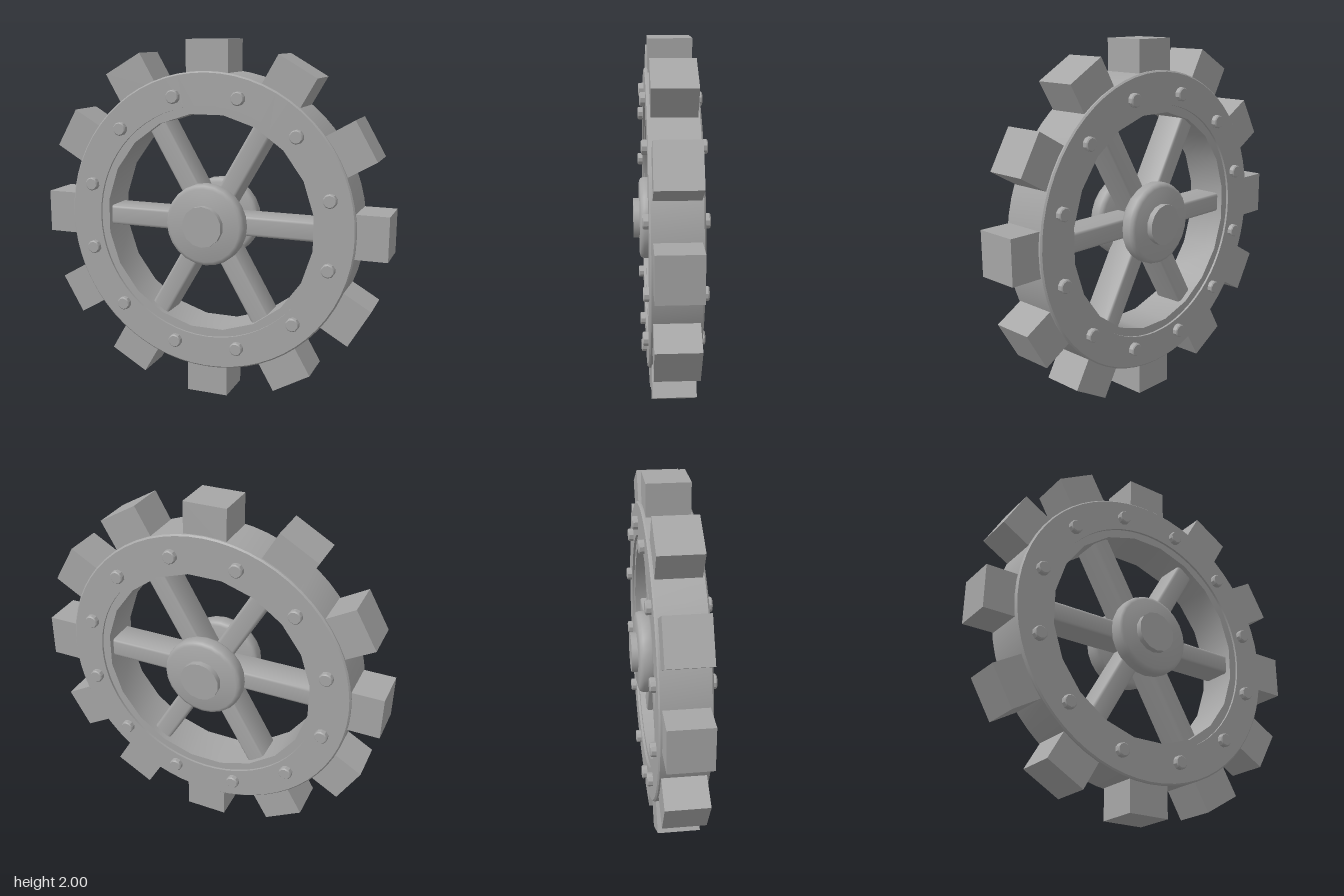
import * as THREE from 'three';
import { toCreasedNormals } from 'three/addons/utils/BufferGeometryUtils.js';

const metal = new THREE.MeshStandardMaterial({ color: 0xa6a6a6 });
metal.name = 'grey metal';

// Revolves a profile of [radius, z] points about the z axis
function turned(points, sides, crease = 0.5, start = 0) {
  const profile = points.map(([r, z]) => new THREE.Vector2(r, z));
  const geometry = new THREE.LatheGeometry(profile, sides, start);
  geometry.rotateX(Math.PI / 2);
  return toCreasedNormals(geometry, crease);
}

// Closed ring with bevelled outer edges
function ring(inner, outer, halfDepth, bevel, sides, start = 0) {
  return turned([
    [inner, -halfDepth], [outer - bevel, -halfDepth], [outer, -halfDepth + bevel],
    [outer, halfDepth - bevel], [outer - bevel, halfDepth], [inner, halfDepth], [inner, -halfDepth],
  ], sides, 0.5, start);
}

export function createModel() {
  const model = new THREE.Group();
  model.name = 'gearWheel';
  const wheel = new THREE.Group();
  wheel.name = 'wheel';
  wheel.position.y = 1;
  model.add(wheel);

  function add(name, geometry, parent = wheel) {
    const mesh = new THREE.Mesh(geometry, metal);
    mesh.name = name;
    parent.add(mesh);
    return mesh;
  }

  // Rim, with a slightly recessed faceted inner band
  add('rim', ring(0.652, 0.835, 0.133, 0.008, 64));
  add('innerBand', ring(0.611, 0.7, 0.12, 0.005, 20, Math.PI / 20));

  // Square teeth and bolts on both rim faces
  const toothGeometry = new THREE.BoxGeometry(0.22, 0.24, 0.232);
  const boltGeometry = turned([[0, 0.12], [0.038, 0.12], [0.038, 0.157], [0.032, 0.163], [0, 0.163]], 10);
  for (let i = 0; i < 12; i++) {
    const angle = i * Math.PI / 6;
    const tooth = add('tooth', toothGeometry);
    tooth.position.set(Math.cos(angle) * 0.89, Math.sin(angle) * 0.89, 0);
    tooth.rotation.z = angle;
    for (const back of [0, 1]) {
      const bolt = add(back ? 'backBolt' : 'frontBolt', boltGeometry);
      const boltAngle = angle + Math.PI / 12;
      bolt.position.set(Math.cos(boltAngle) * 0.72, Math.sin(boltAngle) * 0.72, 0);
      bolt.rotation.y = back * Math.PI;
    }
  }

  // Six spokes with rounded long edges
  const w = 0.056, d = 0.088, b = 0.018;
  const section = new THREE.Shape();
  section.moveTo(-d + b, -w);
  section.lineTo(d - b, -w);
  section.quadraticCurveTo(d, -w, d, -w + b);
  section.lineTo(d, w - b);
  section.quadraticCurveTo(d, w, d - b, w);
  section.lineTo(-d + b, w);
  section.quadraticCurveTo(-d, w, -d, w - b);
  section.lineTo(-d, -w + b);
  section.quadraticCurveTo(-d, -w, -d + b, -w);
  const spokeGeometry = toCreasedNormals(
    new THREE.ExtrudeGeometry(section, { depth: 0.57, bevelEnabled: false, curveSegments: 3 })
      .translate(0, 0, 0.045).rotateY(Math.PI / 2), 0.8);
  for (let i = 0; i < 6; i++) {
    add('spoke', spokeGeometry).rotation.z = i * Math.PI / 3;
  }

  // Rounded hub discs, front and back
  const discGeometry = turned([
    [0, 0.075], [0.205, 0.075], [0.222, 0.082], [0.229, 0.099],
    [0.229, 0.142], [0.222, 0.159], [0.205, 0.166], [0, 0.166],
  ], 24, 0.9);
  add('frontHubDisc', discGeometry);
  add('backHubDisc', discGeometry).rotation.y = Math.PI;

  // Axle through the hub
  add('axle', turned([[0, -0.2], [0.114, -0.2], [0.114, 0.2], [0, 0.2]], 14));

  return model;
}
